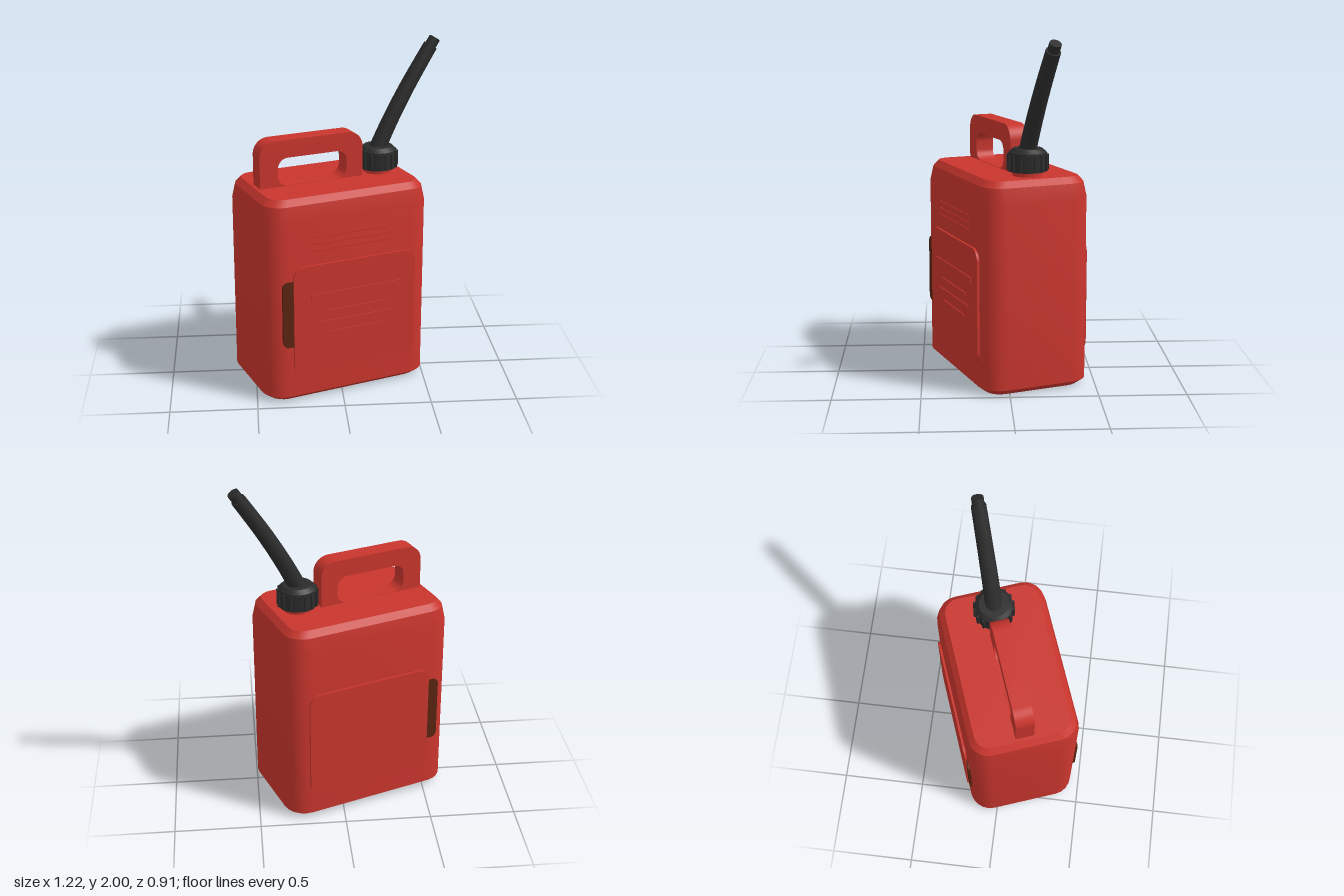
import * as THREE from 'three';
import { toCreasedNormals } from 'three/addons/utils/BufferGeometryUtils.js';

const mat = (name, color) => {
  const m = new THREE.MeshStandardMaterial({ color });
  m.name = name;
  return m;
};

// Rounded rectangle centred on (cx, cy)
function roundedRect(target, cx, cy, w, h, r, rBottom = r) {
  const x0 = cx - w / 2, x1 = cx + w / 2, y0 = cy - h / 2, y1 = cy + h / 2;
  target.moveTo(x0 + rBottom, y0);
  target.lineTo(x1 - rBottom, y0);
  if (rBottom) target.absarc(x1 - rBottom, y0 + rBottom, rBottom, -Math.PI / 2, 0);
  target.lineTo(x1, y1 - r);
  target.absarc(x1 - r, y1 - r, r, 0, Math.PI / 2);
  target.lineTo(x0 + r, y1);
  target.absarc(x0 + r, y1 - r, r, Math.PI / 2, Math.PI);
  target.lineTo(x0, y0 + rBottom);
  if (rBottom) target.absarc(x0 + rBottom, y0 + rBottom, rBottom, Math.PI, Math.PI * 1.5);
  return target;
}

function extrude(shape, depth) {
  const g = new THREE.ExtrudeGeometry(shape, { depth, bevelEnabled: false, curveSegments: 6 });
  g.translate(0, 0, -depth / 2);
  return toCreasedNormals(g, 0.5);
}

// Tank lofted from rounded-rectangle rings, closed at both ends
function tankGeometry() {
  const L = 1.02, W = 0.652, R = 0.125, seg = 5;
  const profile = [[0, 0.045], [0.035, 0], [1.1, 0], [1.185, 0.018], [1.22, 0.05]];
  const pos = [], idx = [];
  const n = 4 * (seg + 1);
  for (const [y, inset] of profile) {
    const r = R - inset * 0.8;
    for (let c = 0; c < 4; c++) {
      const sx = c === 0 || c === 3 ? 1 : -1, sz = c < 2 ? 1 : -1;
      for (let s = 0; s <= seg; s++) {
        const a = (c + s / seg) * Math.PI / 2;
        pos.push(sx * (L / 2 - inset - r) + r * Math.cos(a), y,
          sz * (W / 2 - inset - r) + r * Math.sin(a));
      }
    }
  }
  const last = (profile.length - 1) * n, bottom = profile.length * n, top = bottom + 1;
  pos.push(0, 0, 0, 0, 1.22, 0);
  for (let i = 0; i < n; i++) {
    const j = (i + 1) % n;
    for (let k = 0; k < last; k += n) {
      idx.push(k + i, k + n + i, k + j, k + j, k + n + i, k + n + j);
    }
    idx.push(bottom, i, j, top, last + j, last + i);
  }
  const g = new THREE.BufferGeometry();
  g.setAttribute('position', new THREE.Float32BufferAttribute(pos, 3));
  g.setIndex(idx);
  return toCreasedNormals(g, 0.4);
}

// Curved tube that narrows towards its end
function taperedTube(curve, r0, r1, rings, sides) {
  const g = new THREE.TubeGeometry(curve, rings, 1, sides);
  const p = g.attributes.position, v = new THREE.Vector3();
  for (let i = 0; i < p.count; i++) {
    const t = Math.floor(i / (sides + 1)) / rings;
    const c = curve.getPointAt(t);
    v.fromBufferAttribute(p, i).sub(c).multiplyScalar(r0 + (r1 - r0) * t).add(c);
    p.setXYZ(i, v.x, v.y, v.z);
  }
  return g;
}

export function createModel() {
  const red = mat('redPlastic', 0xc8352d);
  const black = mat('blackPlastic', 0x2c2c2c);
  const brown = mat('darkLevelStrip', 0x5a2410);

  const model = new THREE.Group();
  const can = new THREE.Group();
  can.name = 'fuelCan';
  can.position.x = -0.06;
  can.rotation.y = THREE.MathUtils.degToRad(20);
  model.add(can);

  const add = (name, geometry, material, x = 0, y = 0, z = 0, parent = can) => {
    const m = new THREE.Mesh(geometry, material);
    m.name = name;
    m.position.set(x, y, z);
    parent.add(m);
    return m;
  };

  add('tank', tankGeometry(), red);

  // Raised panels and level strips on both broad faces
  const panel = extrude(roundedRect(new THREE.Shape(), 0, 0, 0.76, 0.66, 0.07), 0.03);
  const strip = extrude(roundedRect(new THREE.Shape(), 0, 0, 0.1, 0.4, 0.035), 0.02);
  for (const [side, s] of [['front', 1], ['back', -1]]) {
    add(side + 'Panel', panel, red, 0.02, 0.5, s * 0.324);
    add(side + 'LevelStrip', strip, brown, -0.375, 0.55, s * 0.323);
  }

  // Raised bars on the front panel: width, height, y
  for (const [w, h, y] of [[0.56, 0.036, 0.638], [0.39, 0.016, 0.538],
    [0.475, 0.018, 0.472], [0.33, 0.014, 0.405]]) {
    add('panelBar', new THREE.BoxGeometry(w, h, 0.009), red, 0.023, y, 0.3405);
  }
  // Thin ridges above the panel
  for (const y of [0.915, 0.955, 0.995]) {
    add('upperRidge', new THREE.BoxGeometry(0.47, 0.012, 0.009), red, 0.005, y, 0.326);
  }

  // Carry handle with a rounded grip opening
  const handle = roundedRect(new THREE.Shape(), -0.122, 1.35, 0.636, 0.28, 0.09, 0);
  handle.holes.push(roundedRect(new THREE.Path(), -0.118, 1.304, 0.425, 0.164, 0.06));
  add('handle', extrude(handle, 0.106), red);

  // Neck and ribbed screw cap
  const capX = 0.32;
  add('neck', new THREE.CylinderGeometry(0.085, 0.085, 0.06, 24), red, capX, 1.24, 0);
  const capProfile = [[0, 1.245], [0.108, 1.245], [0.108, 1.352], [0.085, 1.374], [0, 1.376]]
    .map(([r, y]) => new THREE.Vector2(r, y));
  add('cap', toCreasedNormals(new THREE.LatheGeometry(capProfile, 24), 0.5), black, capX);
  const ribs = new THREE.Group();
  ribs.name = 'capRibs';
  ribs.position.set(capX, 1.297, 0);
  can.add(ribs);
  const ribGeometry = new THREE.BoxGeometry(0.02, 0.09, 0.015);
  for (let i = 0; i < 16; i++) {
    const a = i / 16 * Math.PI * 2;
    add('capRib', ribGeometry, black, Math.cos(a) * 0.109, 0, Math.sin(a) * 0.109, ribs)
      .rotation.y = -a;
  }

  // Bent pouring spout with a narrow tip
  const path = new THREE.CatmullRomCurve3([[0.305, 1.33], [0.395, 1.51], [0.5, 1.695],
    [0.58, 1.822], [0.652, 1.932]].map(([x, y]) => new THREE.Vector3(x, y, 0)));
  add('spout', taperedTube(path, 0.05, 0.042, 16, 14), black);
  const end = path.getPointAt(1), dir = path.getTangentAt(1);
  const up = new THREE.Vector3(0, 1, 0);
  add('spoutEnd', new THREE.CylinderGeometry(0.042, 0.042, 0.008, 14), black, end.x, end.y, 0)
    .quaternion.setFromUnitVectors(up, dir);
  const tip = end.clone().addScaledVector(dir, 0.024);
  add('spoutTip', new THREE.CylinderGeometry(0.034, 0.034, 0.06, 14), black, tip.x, tip.y, 0)
    .quaternion.setFromUnitVectors(up, dir);

  return model;
}
